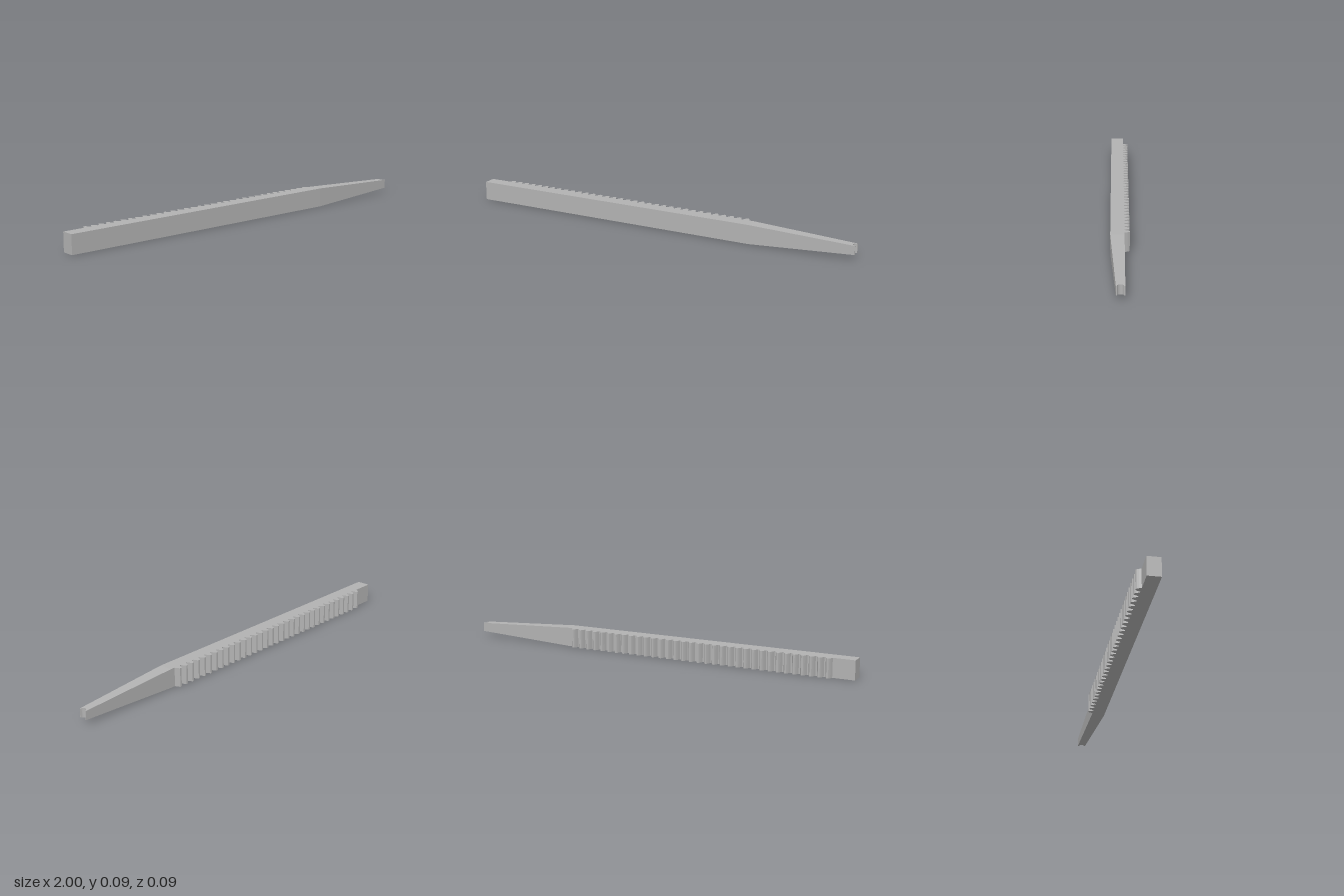
import * as THREE from 'three';

const HEIGHT = 0.093, TIP_HEIGHT = 0.043;
const KNEE = 0.49;               // where the bar starts to taper
const FRONT = -0.044, BACK = 0.02; // outline y, which becomes -z

// Extrude an outline drawn in plan upwards, so that its y runs to the back
function extrudePlan(shape) {
  const geometry = new THREE.ExtrudeGeometry(shape, { depth: HEIGHT, bevelEnabled: false, curveSegments: 12 });
  geometry.rotateX(-Math.PI / 2);
  return geometry;
}

// Straight bar with the row of gear teeth along its back
function rackGeometry() {
  const teeth = 34, pitch = 0.0402, firstTooth = -0.877;
  const flank = [[0.0165, 0.02], [0.0125, 0.03], [0.0085, 0.038], [0.0045, 0.0435]];
  const shape = new THREE.Shape();
  shape.moveTo(-1, FRONT);
  shape.lineTo(KNEE, FRONT);
  shape.lineTo(KNEE, BACK);
  for (let i = teeth - 1; i >= 0; i--) {
    const x = firstTooth + i * pitch;
    flank.forEach(([dx, y]) => shape.lineTo(x + dx, y));
    [...flank].reverse().forEach(([dx, y]) => shape.lineTo(x - dx, y));
  }
  shape.lineTo(-1, BACK);
  shape.closePath();
  return extrudePlan(shape);
}

// Tapered end with a rounded upright groove in its tip
function taperGeometry() {
  const groove = 0.015;
  const shape = new THREE.Shape();
  shape.moveTo(KNEE, FRONT);
  shape.lineTo(1, -0.019);
  shape.lineTo(1, -groove);
  shape.absarc(1, 0, groove, -Math.PI / 2, -Math.PI * 1.5, true);
  shape.lineTo(1, BACK);
  shape.lineTo(KNEE, BACK);
  shape.closePath();
  const geometry = extrudePlan(shape);
  // Draw top and bottom together towards the tip
  const p = geometry.attributes.position;
  for (let i = 0; i < p.count; i++) {
    const t = (p.getX(i) - KNEE) / (1 - KNEE);
    const scale = THREE.MathUtils.lerp(1, TIP_HEIGHT / HEIGHT, t);
    p.setY(i, HEIGHT / 2 + (p.getY(i) - HEIGHT / 2) * scale);
  }
  geometry.computeVertexNormals();
  return geometry;
}

export function createModel() {
  const steel = new THREE.MeshStandardMaterial({ color: 0xb2b2b2 });
  steel.name = 'grey steel';
  const model = new THREE.Group();
  model.name = 'toothedRack';
  const parts = { toothedBar: rackGeometry(), taperedTip: taperGeometry() };
  for (const [name, geometry] of Object.entries(parts)) {
    const mesh = new THREE.Mesh(geometry, steel);
    mesh.name = name;
    model.add(mesh);
  }
  return model;
}
